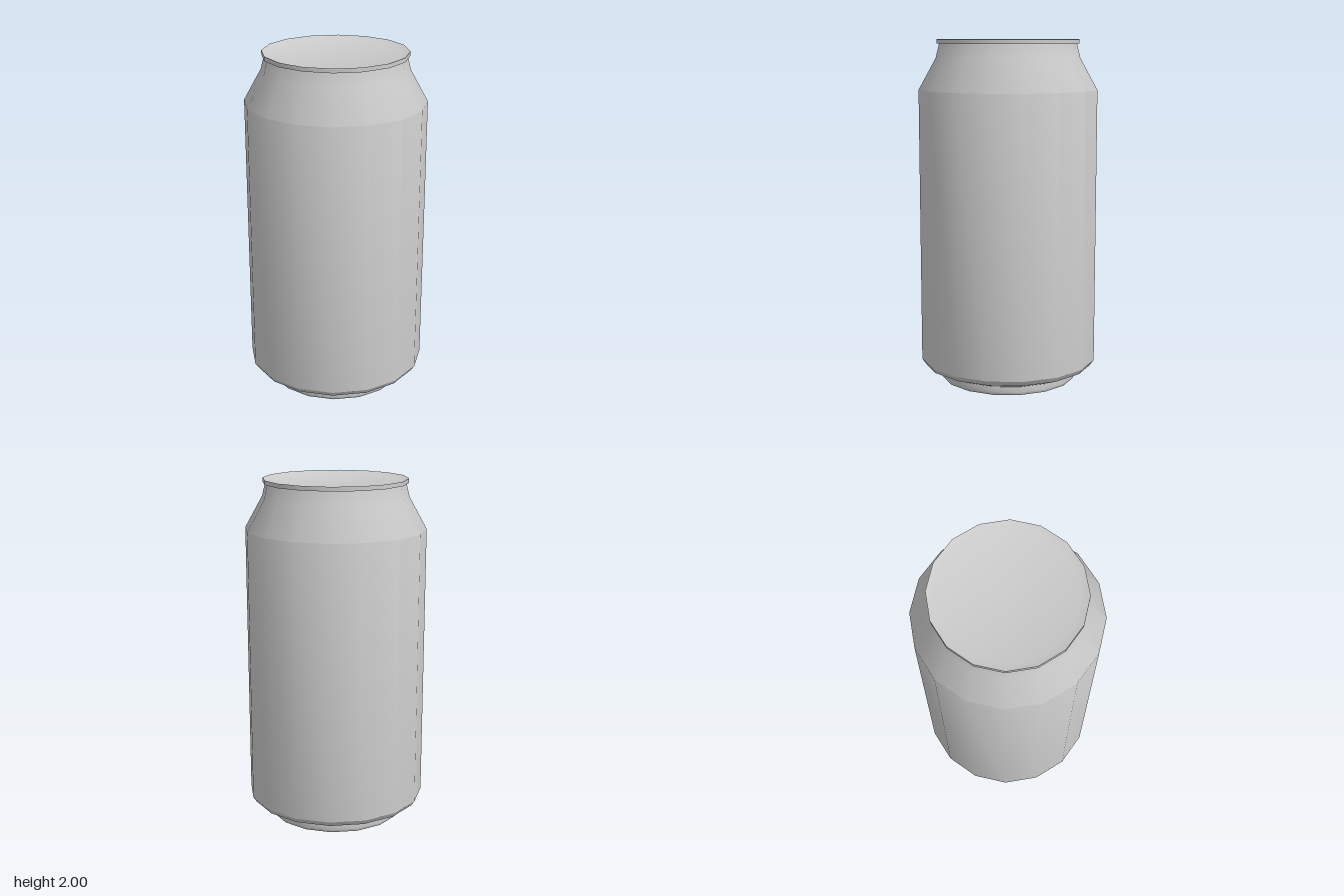
import * as THREE from 'three';
import { toCreasedNormals } from 'three/addons/utils/BufferGeometryUtils.js';

const SIDES = 16;
const CREASE = 0.54; // keeps the sixteen sides smooth and the rims sharp

export function createModel() {
  const can = new THREE.Group();
  can.name = 'drinkCan';
  const material = new THREE.MeshStandardMaterial({ color: 0xcccccc });

  // Revolves a [radius, height] profile, running bottom to top on the outside
  const addRing = (name, profile) => {
    const points = profile.map(([r, y]) => new THREE.Vector2(r, y));
    const geometry = toCreasedNormals(new THREE.LatheGeometry(points, SIDES), CREASE);
    const mesh = new THREE.Mesh(geometry, material);
    mesh.name = name;
    can.add(mesh);
  };

  // Hollow dome underneath
  addRing('bottomDome', [[0, 0.12], [0.13, 0.11], [0.24, 0.085], [0.32, 0.045], [0.365, 0.005]]);

  // Standing ring and the chamfer up to the wall
  addRing('baseRing', [[0.365, 0.005], [0.375, 0], [0.395, 0], [0.402, 0.015], [0.4, 0.05], [0.5, 0.09], [0.52, 0.12]]);

  // Straight wall, sloping shoulder and neck
  addRing('body', [[0.52, 0.12], [0.52, 1.715], [0.42, 1.895], [0.4, 1.975]]);

  // Seam around the top
  addRing('topRim', [[0.4, 1.975], [0.415, 1.975], [0.415, 2]]);

  // Slightly sunken lid
  addRing('lid', [[0.415, 2], [0.37, 1.985], [0, 1.985]]);

  return can;
}
